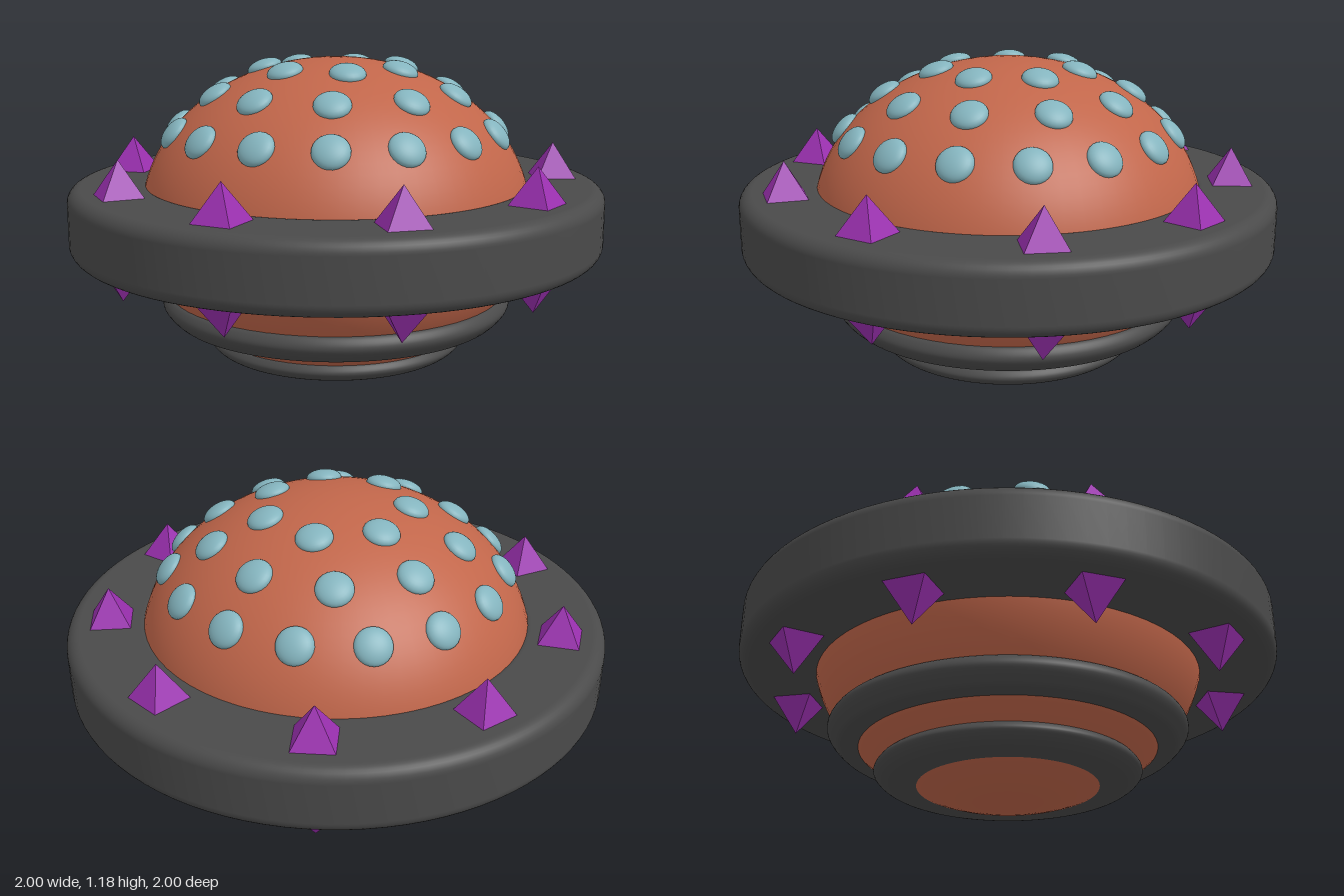
import * as THREE from 'three';

const RX = 0.733, RY = 0.59, CY = 0.592; // body ellipsoid

function mat(color, flatShading = false) {
  return new THREE.MeshStandardMaterial({ color, flatShading });
}

// Calls place(x, z, angle) for evenly spaced spots on a circle, starting at the back
function ringOf(count, radius, place) {
  for (let i = 0; i < count; i++) {
    const a = (i / count) * Math.PI * 2;
    place(Math.sin(a) * radius, -Math.cos(a) * radius, a);
  }
}

// Rounded rectangle section, counter-clockwise from the hidden inner side
function roundedSection(x0, x1, y0, y1, r) {
  const pts = [];
  const corners = [[x0 + r, y0 + r, 2], [x1 - r, y0 + r, 3], [x1 - r, y1 - r, 0], [x0 + r, y1 - r, 1]];
  for (const [cx, cy, q] of corners) {
    for (let i = 0; i <= 8; i++) {
      const t = (q + i / 8) * Math.PI / 2;
      pts.push(new THREE.Vector2(cx + r * Math.cos(t), cy + r * Math.sin(t)));
    }
  }
  pts.push(pts[0].clone());
  return pts;
}

export function createModel() {
  const group = new THREE.Group();
  const grey = mat(0x4a4a4a), orange = mat(0xc1664a), purple = mat(0x9b30b0, true), blue = mat(0x84b4be);

  function add(name, geometry, material, parent = group) {
    const mesh = new THREE.Mesh(geometry, material);
    mesh.name = name;
    parent.add(mesh);
    return mesh;
  }

  // Flattened round body
  const body = add('body', new THREE.SphereGeometry(1, 64, 48), orange);
  body.scale.set(RX, RY, RX);
  body.position.y = CY;

  // Wide ring around the middle
  add('mainRing', new THREE.LatheGeometry(roundedSection(0.68, 1, 0.47, 0.72, 0.05), 96), grey);

  // Two smaller bulging rings underneath
  const lowerRings = {
    upperBaseRing: [[0.5, 0.202], [0.6, 0.202], [0.635, 0.22], [0.663, 0.258], [0.655, 0.288], [0.63, 0.305], [0.57, 0.305]],
    lowerBaseRing: [[0.32, 0.067], [0.4, 0.066], [0.455, 0.08], [0.487, 0.108], [0.482, 0.13], [0.46, 0.145], [0.4, 0.146]],
  };
  for (const [name, section] of Object.entries(lowerRings)) {
    const curve = new THREE.SplineCurve(section.map(([x, y]) => new THREE.Vector2(x, y)));
    add(name, new THREE.LatheGeometry(curve.getPoints(30), 80), grey);
  }

  // Double-ended spikes through the main ring
  const spikes = new THREE.Group();
  spikes.name = 'spikes';
  group.add(spikes);
  const spikeGeo = new THREE.OctahedronGeometry(1).rotateY(Math.PI / 4).scale(0.143 * Math.SQRT2, 0.256, 0.143 * Math.SQRT2);
  ringOf(9, 0.835, (x, z, a) => {
    const spike = add('spike', spikeGeo, purple, spikes);
    spike.position.set(x, 0.595, z);
    spike.rotation.y = -a;
  });

  // Rows of flattened studs lying on the dome
  const studs = new THREE.Group();
  studs.name = 'studs';
  group.add(studs);
  const studGeo = new THREE.SphereGeometry(1, 24, 16).scale(0.066, 0.032, 0.066);
  const up = new THREE.Vector3(0, 1, 0);
  for (const [count, radius] of [[7, 0.268], [10, 0.458], [15, 0.61]]) {
    const h = RY * Math.sqrt(1 - (radius / RX) ** 2);
    ringOf(count, radius, (x, z) => {
      const stud = add('stud', studGeo, blue, studs);
      stud.position.set(x, CY + h, z);
      const normal = new THREE.Vector3(x / RX ** 2, h / RY ** 2, z / RX ** 2).normalize();
      stud.quaternion.setFromUnitVectors(up, normal);
    });
  }

  return group;
}
